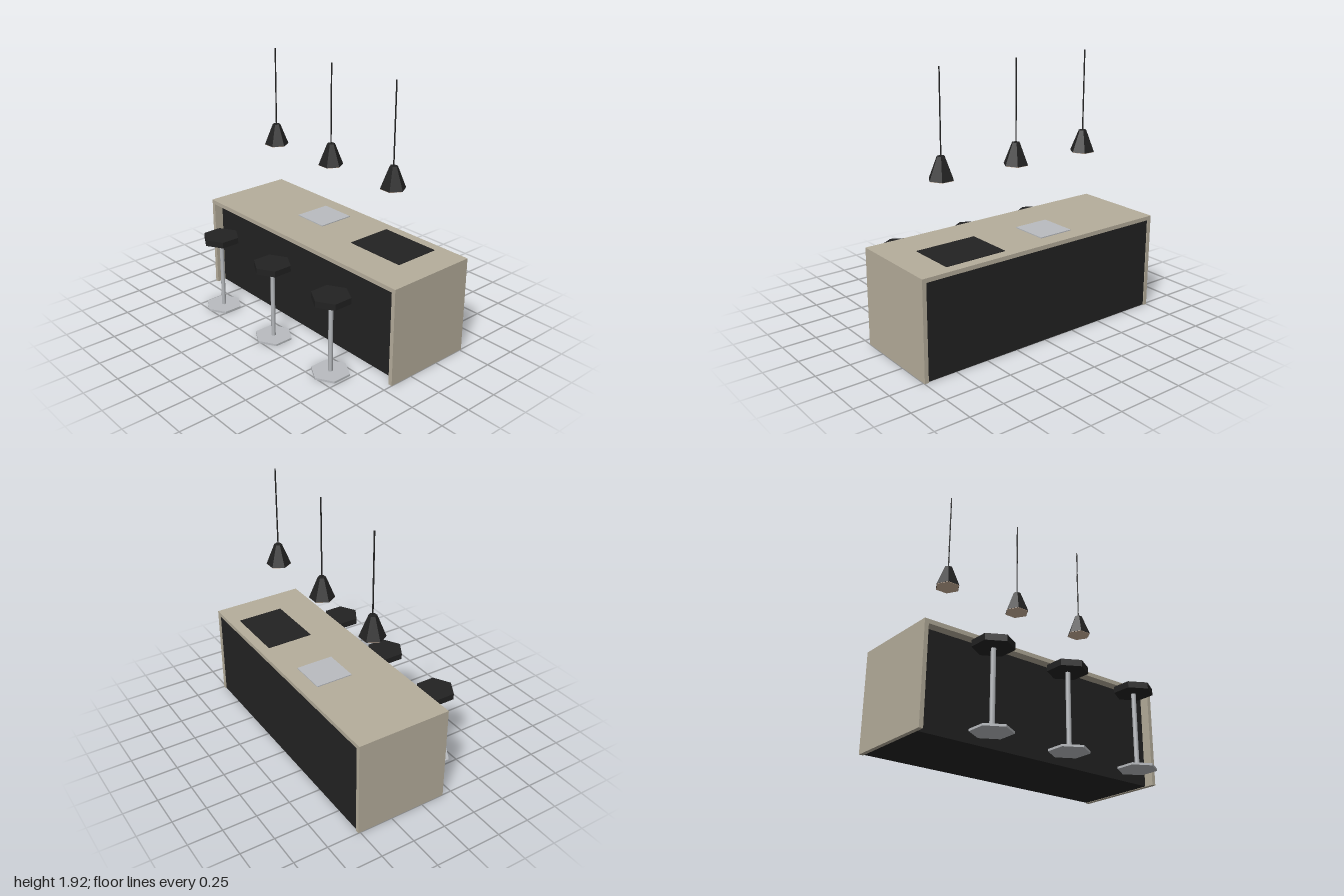
import * as THREE from 'three';

const mat = (name, color) => {
  const m = new THREE.MeshStandardMaterial({ color });
  m.name = name;
  return m;
};

export function createModel() {
  const stone = mat('beige stone', 0xb5ad9b);
  const black = mat('matt black', 0x222222);
  const steel = mat('brushed steel', 0xb9bcc0);
  const glow = mat('warm diffuser', 0xccb29c);
  const model = new THREE.Group();
  model.name = 'kitchenIsland';

  const add = (parent, name, geometry, material) => {
    const mesh = new THREE.Mesh(geometry, material);
    mesh.name = name;
    parent.add(mesh);
    return mesh;
  };

  // Box given by its minimum and maximum corners
  const box = (parent, name, material, [x0, y0, z0], [x1, y1, z1]) =>
    add(parent, name, new THREE.BoxGeometry(x1 - x0, y1 - y0, z1 - z0), material)
      .position.set((x0 + x1) / 2, (y0 + y1) / 2, (z0 + z1) / 2);

  // Six-sided prism or cone with faceted sides, from y0 to y1
  const hex = (parent, name, material, rTop, rBottom, y0, y1) => {
    const g = new THREE.CylinderGeometry(rTop, rBottom, y1 - y0, 6).toNonIndexed();
    g.computeVertexNormals();
    const mesh = add(parent, name, g, material);
    mesh.position.y = (y0 + y1) / 2;
    return mesh;
  };

  // Island: waterfall worktop around a dark cabinet, recessed at the front
  const island = new THREE.Group();
  island.name = 'island';
  model.add(island);
  box(island, 'worktop', stone, [-1, 0.68, -0.515], [1, 0.71, 0.18]);
  box(island, 'rightEndPanel', stone, [-1, 0, -0.515], [-0.97, 0.68, 0.18]);
  box(island, 'leftEndPanel', stone, [0.97, 0, -0.515], [1, 0.68, 0.18]);
  box(island, 'cabinet', black, [-0.97, 0.003, -0.508], [0.97, 0.68, 0.11]);
  box(island, 'sink', steel, [-0.31, 0.71, -0.4], [-0.04, 0.717, -0.125]);
  box(island, 'hob', black, [0.305, 0.71, -0.44], [0.77, 0.714, -0.09]);

  for (const x of [-0.615, 0, 0.615]) {
    // Bar stool
    const stool = new THREE.Group();
    stool.name = 'stool';
    stool.position.set(x, 0, 0.375);
    model.add(stool);
    hex(stool, 'stoolBase', steel, 0.138, 0.138, 0, 0.015);
    add(stool, 'stoolPost', new THREE.CylinderGeometry(0.017, 0.017, 0.53, 6, 1, true), steel)
      .position.y = 0.28;
    hex(stool, 'stoolSeat', black, 0.138, 0.138, 0.545, 0.59);

    // Pendant lamp, turned so that corners point sideways
    const lamp = new THREE.Group();
    lamp.name = 'pendantLamp';
    lamp.position.set(x, 0, -0.168);
    lamp.rotation.y = Math.PI / 2;
    model.add(lamp);
    hex(lamp, 'lampCord', black, 0.005, 0.005, 1.35, 1.925);
    hex(lamp, 'lampShade', black, 0.028, 0.09, 1.194, 1.35);
    hex(lamp, 'lampDiffuser', glow, 0.088, 0.088, 1.191, 1.195);
  }
  return model;
}
